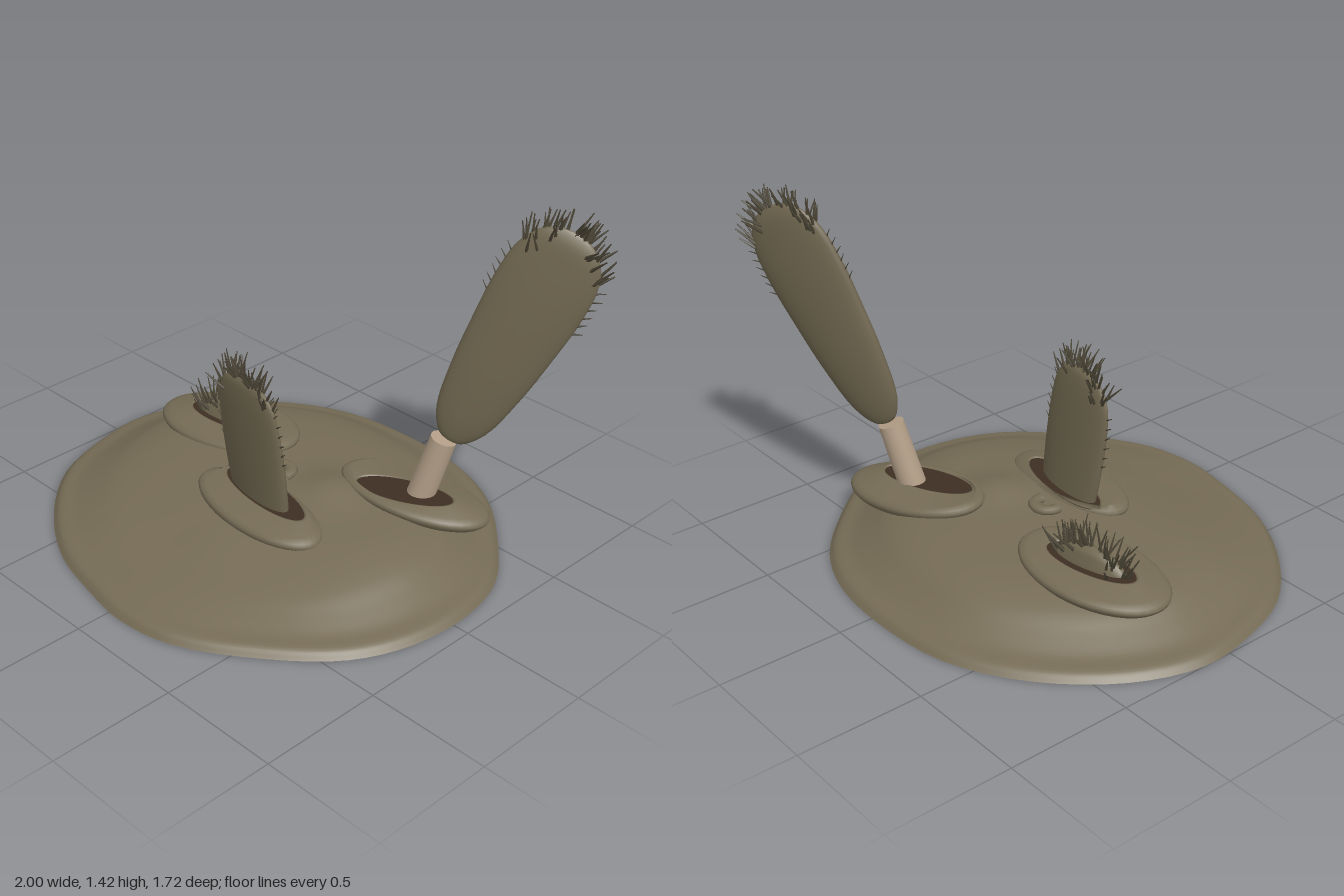
import * as THREE from 'three';
import { mergeGeometries } from 'three/addons/utils/BufferGeometryUtils.js';

const V = (x, y, z) => new THREE.Vector3(x, y, z);
const UP = V(0, 1, 0);

function material(name, color, side = THREE.FrontSide) {
  const m = new THREE.MeshStandardMaterial({ color, side });
  m.name = name;
  return m;
}

function seeded(seed) {
  return () => (seed = (seed * 16807) % 2147483647) / 2147483647;
}

// Skin a list of equal-length rings, wrapping around each ring
function loft(rings) {
  const n = rings[0].length, index = [];
  for (let r = 0; r < rings.length - 1; r++) {
    for (let i = 0; i < n; i++) {
      const a = r * n + i, b = r * n + (i + 1) % n;
      index.push(a, a + n, b, b, a + n, b + n);
    }
  }
  const g = new THREE.BufferGeometry().setFromPoints(rings.flat());
  g.setIndex(index);
  g.computeVertexNormals();
  return g;
}

function ellipse(cx, cz, a, b, turn, yAt, n = 40) {
  return Array.from({ length: n }, (_, i) => {
    const t = i / n * Math.PI * 2, p = a * Math.cos(t), q = b * Math.sin(t);
    const x = cx + p * Math.cos(turn) - q * Math.sin(turn);
    const z = cz + p * Math.sin(turn) + q * Math.cos(turn);
    return V(x, yAt(x, z), z);
  });
}

// Low, irregular mound with a thin skirt, open underneath
function moundGeometry() {
  const outline = new THREE.CatmullRomCurve3([
    [.93, -.08], [.91, .19], [.81, .42], [.6, .63], [.3, .82], [.06, .86], [-.15, .83],
    [-.41, .76], [-.68, .59], [-.88, .37], [-.975, .11], [-1, -.13], [-.9, -.4], [-.67, -.66],
    [-.38, -.82], [-.03, -.86], [.25, -.83], [.48, -.73], [.7, -.53], [.87, -.31],
  ].map(([x, z]) => V(x, 0, z)), true);
  const edge = outline.getPoints(80).slice(0, 80);
  // scale, height at the sides and back, height at the front
  const slope = new THREE.CatmullRomCurve3([
    [1, 0, 0], [.97, .026, .028], [.9, .044, .04], [.82, .083, .056], [.73, .13, .073],
    [.6, .163, .1], [.42, .178, .145], [.2, .187, .183], [0, .19, .19],
  ].map(p => V(...p)), false, 'centripetal');
  return loft(slope.getPoints(40).map(({ x: s, y: side, z: front }) => edge.map(e => {
    const x = e.x * s, z = e.z * s;
    const k = Math.max(0, e.z / Math.hypot(e.x, e.z)) ** 1.3;
    const bump = .037 * Math.exp(-((x - .19) ** 2 + (z + .12) ** 2) / .015);
    return V(x, Math.max(0, side + (front - side) * k + bump), z);
  })));
}

// Flattened tapering body; rows are [t along axis, half width, half depth]
function bladeFrame(base, top, across, rows) {
  const axis = top.clone().sub(base), a = axis.clone().normalize();
  const u = across.clone().addScaledVector(a, -across.dot(a)).normalize();
  const v = u.clone().cross(a);
  const curve = new THREE.CatmullRomCurve3(rows.map(r => V(...r)), false, 'centripetal');
  const point = (row, angle) => base.clone().addScaledVector(axis, row.x)
    .addScaledVector(u, Math.max(0, row.y) * Math.cos(angle))
    .addScaledVector(v, Math.max(0, row.z) * Math.sin(angle));
  return { a, u, v, curve, point };
}

function bladeGeometry(frame) {
  const rings = frame.curve.getPoints(36).map(row =>
    Array.from({ length: 28 }, (_, i) => frame.point(row, i / 28 * Math.PI * 2)));
  const cap = ring => {
    const c = ring.reduce((s, p) => s.add(p), V(0, 0, 0)).divideScalar(ring.length);
    return ring.map(() => c.clone());
  };
  return loft([cap(rings[0]), ...rings, cap(rings[rings.length - 1])]);
}

// Slim blunt needle
function spike(at, dir, length, radius) {
  const g = new THREE.CylinderGeometry(radius * .3, radius, length, 4, 1);
  g.translate(0, length * .35, 0);
  g.applyQuaternion(new THREE.Quaternion().setFromUnitVectors(UP, dir.normalize()));
  return g.translate(at.x, at.y, at.z);
}

// Splayed crown along the rim of the tip, and short bristles down both edges
function bristleGeometry(frame, { from, length, edge, edgeFrom, seed }) {
  const rnd = seeded(seed), parts = [];
  for (let i = 0; i < 54; i++) {
    const row = frame.curve.getPointAt(from + (1 - from) * rnd());
    const s = i % 2 ? 1 : -1, lean = rnd() * 2 - 1;
    const angle = (s > 0 ? 0 : Math.PI) + s * lean;
    const dir = frame.a.clone()
      .addScaledVector(frame.u, s * row.y * 3 + (rnd() - .5) * .6)
      .addScaledVector(frame.v, lean * .8);
    parts.push(spike(frame.point(row, angle), dir, length * (.7 + .5 * rnd()), .0075));
  }
  for (let i = 0; i < edge; i++) {
    const row = frame.curve.getPointAt(edgeFrom + (from - edgeFrom) * (i / edge));
    const s = i % 2 ? 1 : -1;
    const dir = frame.u.clone().multiplyScalar(s).addScaledVector(frame.a, .5 + rnd() * .5);
    parts.push(spike(frame.point(row, s > 0 ? 0 : Math.PI), dir, .04, .004));
  }
  return mergeGeometries(parts);
}

export function createModel() {
  const model = new THREE.Group();
  const stone = material('olive stone', 0x756b55, THREE.DoubleSide);
  const body = material('olive body', 0x6f664f);
  const dark = material('dark brown opening', 0x3d2e22, THREE.DoubleSide);
  const bristle = material('dark olive bristle', 0x4c4636);
  const flesh = material('pale flesh', 0xb39f88);
  const add = (name, geometry, mat) => {
    const mesh = new THREE.Mesh(geometry, mat);
    mesh.name = name;
    model.add(mesh);
    return mesh;
  };

  add('mound', moundGeometry(), stone);

  // Small curled ridge near the middle
  const ridge = add('ridge', new THREE.TorusGeometry(.05, .027, 8, 20, Math.PI * 1.1), stone);
  ridge.rotation.set(-Math.PI / 2, 0, -.2);
  ridge.scale.z = .6;
  ridge.position.set(-.04, .205, -.05);

  // Rounded collars, each with a dark slot: outer ellipse, then slot ellipse
  const collars = [
    { name: 'right', o: [-.48, -.195, .335, .205, -.12], h: [-.47, -.2, .205, .08, -.17], gx: .05, gz: 0 },
    { name: 'left', o: [.42, -.345, .315, .175, -.25], h: [.41, -.295, .2, .08, -.38], gx: -.07, gz: .08 },
    { name: 'front', o: [.07, .16, .325, .148, .05], h: [.045, .105, .235, .075, .13], gx: -.03, gz: -.03 },
  ];
  for (const { name, o, h, gx, gz } of collars) {
    const ring = (k, y) => ellipse(o[0], o[1], o[2] * k, o[3] * k, o[4],
      (x, z) => y + (x - o[0]) * gx + (z - o[1]) * gz);
    const slot = (k, y) => ellipse(h[0], h[1], h[2] * k, h[3] * k, h[4], () => y);
    add(name + 'Collar', loft([ring(0, .13), ring(.85, .137), ring(.94, .15), ring(.99, .165),
      ring(1, .177), ring(.97, .188), ring(.88, .199), slot(1.06, .209), slot(1, .208), slot(.97, .196)]), stone);
    add(name + 'Opening', loft([slot(1, .205), slot(0, .205)]), dark);
  }

  // Bristled bodies: one sunken, one half raised, one held up on a stalk
  const blades = [
    { name: 'right', base: V(-.47, .03, -.2), top: V(-.47, .28, -.2), across: V(.98, 0, -.2),
      rows: [[0, .14, .05], [.4, .165, .055], [.65, .165, .052], [.8, .135, .042], [.93, .08, .028], [1, 0, 0]],
      hair: { from: .6, length: .115, edge: 0, edgeFrom: 0, seed: 11 } },
    { name: 'front', base: V(.04, .03, .1), top: V(-.02, .715, .155), across: V(.99, 0, .13),
      rows: [[0, .14, .055], [.2, .17, .053], [.5, .19, .047], [.75, .188, .038], [.88, .168, .03], [.96, .115, .02], [1, 0, 0]],
      hair: { from: .79, length: .095, edge: 12, edgeFrom: .47, seed: 23 } },
    { name: 'left', base: V(.53, .445, -.4), top: V(.85, 1.33, -.665), across: V(.89, 0, -.47),
      rows: [[0, 0, 0], [.015, .05, .02], [.1, .107, .036], [.3, .147, .046], [.5, .167, .046], [.7, .179, .042],
        [.85, .168, .034], [.94, .127, .026], [.985, .067, .012], [1, 0, 0]],
      hair: { from: .79, length: .095, edge: 12, edgeFrom: .6, seed: 37 } },
  ];
  for (const { name, base, top, across, rows, hair } of blades) {
    const frame = bladeFrame(base, top, across, rows);
    add(name + 'Body', bladeGeometry(frame), body);
    add(name + 'Bristles', bristleGeometry(frame, hair), bristle);
  }

  // Dark undersides of the two sunken bodies
  for (const [x, z, turn] of [[-.47, -.2, -.2], [.04, .1, .13]]) {
    const ring = k => ellipse(x, z, .142 * k, .056 * k, turn, () => .026);
    add('bodyUnderside', loft([ring(0), ring(1)]), dark);
  }

  // Pale stalk under the raised body, with a dark foot
  const foot = V(.422, .07, -.322), head = V(.515, .45, -.39);
  const length = foot.distanceTo(head);
  const stalk = add('stalk', new THREE.CylinderGeometry(.052, .058, length, 20), flesh);
  stalk.position.copy(foot).lerp(head, .5);
  stalk.quaternion.setFromUnitVectors(UP, head.clone().sub(foot).normalize());
  const stalkFoot = add('stalkFoot', new THREE.CylinderGeometry(.058, .058, .008, 20), dark);
  stalkFoot.position.copy(foot);
  stalkFoot.quaternion.copy(stalk.quaternion);

  return model;
}
